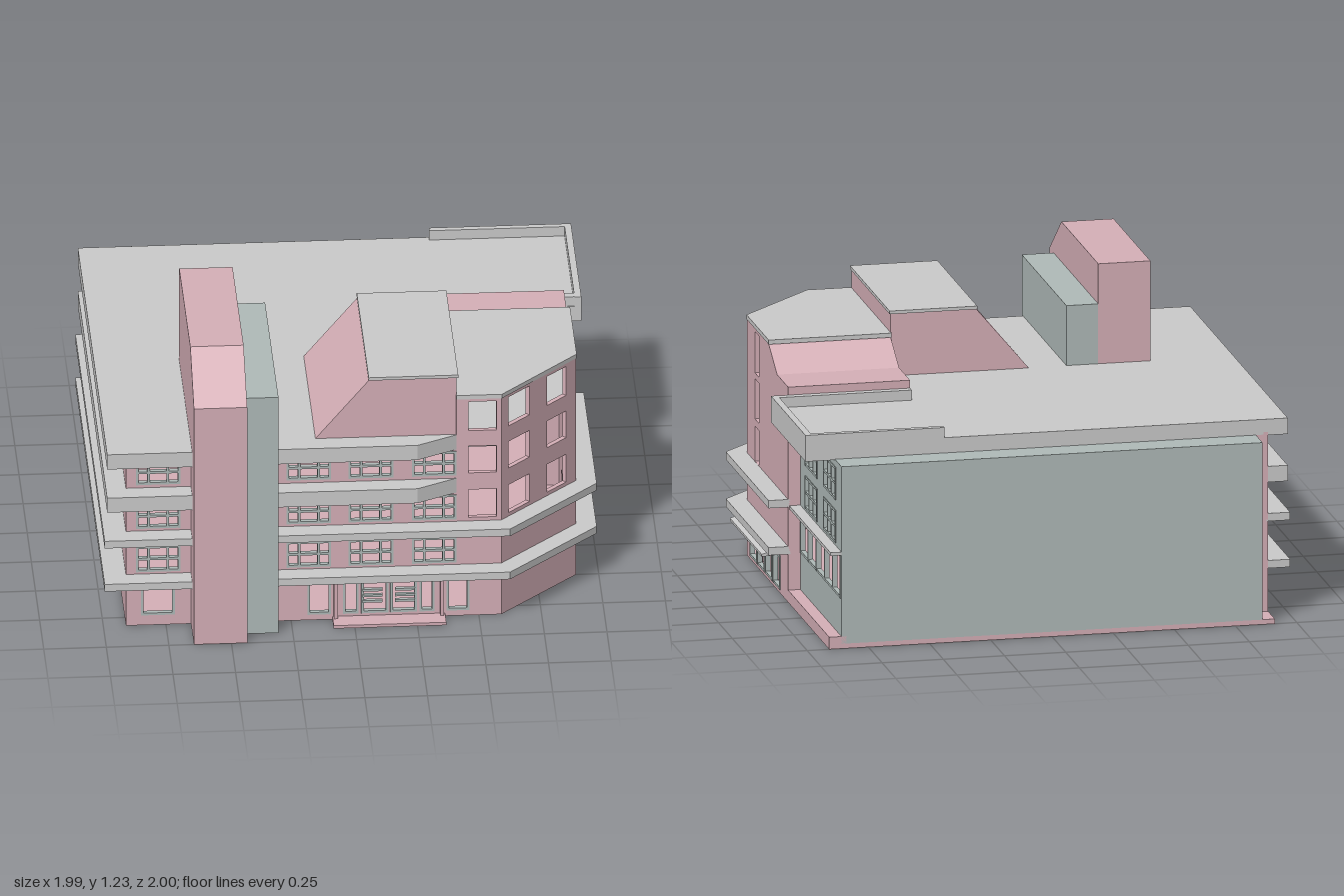
import * as THREE from 'three';

const pink = new THREE.MeshStandardMaterial({ color: 0xd6b0b8, side: THREE.DoubleSide });
const green = new THREE.MeshStandardMaterial({ color: 0xb0bbb9, side: THREE.DoubleSide });
const grey = new THREE.MeshStandardMaterial({ color: 0xcccccc, side: THREE.DoubleSide });
const T = 0.02; // wall thickness

function add(parent, name, geo, mat) {
  const mesh = new THREE.Mesh(geo, mat);
  mesh.name = name;
  parent.add(mesh);
  return mesh;
}

// box given by its limits
function box(parent, name, mat, x0, x1, y0, y1, z0, z1) {
  const m = add(parent, name, new THREE.BoxGeometry(x1 - x0, y1 - y0, z1 - z0), mat);
  m.position.set((x0 + x1) / 2, (y0 + y1) / 2, (z0 + z1) / 2);
  return m;
}

const toShape = pts => new THREE.Shape(pts.map(p => new THREE.Vector2(p[0], p[1])));
const extrude = (shape, depth) => new THREE.ExtrudeGeometry(shape, { depth, bevelEnabled: false });

// horizontal slab from a plan outline [x, z]
function slab(parent, name, mat, pts, y0, y1) {
  const m = add(parent, name, extrude(toShape(pts.map(([x, z]) => [x, -z])), y1 - y0), mat);
  m.rotation.x = -Math.PI / 2;
  m.position.y = y0;
  return m;
}

// solid with a side profile [z, y], running from x0 to x1
function sideProfile(parent, name, mat, pts, x0, x1) {
  const m = add(parent, name, extrude(toShape(pts.map(([z, y]) => [-z, y])), x1 - x0), mat);
  m.rotation.y = Math.PI / 2;
  m.position.x = x0;
  return m;
}

// wall with rectangular openings; each is {r: [u0, u1, v0, v1], cols, rows}
// cols and rows are bar positions as fractions of the opening
function wall(parent, name, mat, pts, windows, x, z, angle) {
  const g = new THREE.Group();
  g.name = name;
  g.position.set(x, 0, z);
  g.rotation.y = angle;
  parent.add(g);
  const shape = toShape(pts);
  for (const { r: [a, b, c, d], cols, rows } of windows) {
    shape.holes.push(new THREE.Path([[a, c], [b, c], [b, d], [a, d]].map(p => new THREE.Vector2(...p))));
    if (!cols) continue;
    const w = 0.005;
    for (const f of [0, ...cols, 1]) {
      const u = a + w + f * (b - a - 2 * w);
      box(g, 'windowBar', green, u - w, u + w, c, d, -T + 0.003, 0.004);
    }
    for (const f of [0, ...rows, 1]) {
      const v = c + w + f * (d - c - 2 * w);
      box(g, 'windowBar', green, a, b, v - w, v + w, -T + 0.003, 0.003);
    }
  }
  add(g, name + 'Panel', extrude(shape, T), mat).position.z = -T;
  return g;
}

const rect = (a, b, c, d) => [[a, c], [b, c], [b, d], [a, d]];
const open = (a, b, c, d) => ({ r: [a, b, c, d] });
const framed = (a, b, c, d, cols = [], rows = []) => ({ r: [a, b, c, d], cols, rows });

export function createModel() {
  const root = new THREE.Group();
  root.name = 'building';

  // base
  slab(root, 'base', pink, [[-0.91, -1], [0.91, -1], [0.91, 0.5], [0.59, 0.82], [-0.91, 0.82]], 0, 0.02);
  box(root, 'sidePlinth', pink, 0.84, 0.91, 0.02, 0.05, -1, -0.25);

  // front wall: three floors of barred windows, shopfront and entrance
  const front = [];
  for (const [y0, y1] of [[0.24, 0.355], [0.435, 0.545], [0.632, 0.74]])
    for (const x of [-0.87, -0.268, -0.02, 0.232])
      front.push(framed(x, x + 0.178, y0, y1, [0.27, 0.73], [0.5]));
  front.push(framed(-0.85, -0.715, 0.045, 0.19));
  for (const [a, b] of [[-0.185, -0.09], [-0.042, 0.02], [0.03, 0.138], [0.146, 0.252], [0.262, 0.322], [0.37, 0.462]])
    front.push(framed(a, b, 0.025, 0.188));
  const sills = [[0.44, 0.565], [0.64, 0.76], [0.83, 0.96]];
  for (const [y0, y1] of sills) front.push(open(0.458, 0.57, y0, y1));
  wall(root, 'frontWall', pink,
    [[-0.91, 0], [0.59, 0], [0.59, 0.98], [0.41, 0.98], [0.41, 0.76], [-0.91, 0.76]], front, 0, 0.82, 0);

  // entrance surround, step and door handles
  for (const x of [-0.08, 0.345]) box(root, 'entrancePost', pink, x, x + 0.015, 0.015, 0.2, 0.82, 0.845);
  box(root, 'entranceStep', pink, -0.085, 0.365, 0, 0.013, 0.8, 0.9);
  for (const x of [0.035, 0.165])
    for (const y of [0.075, 0.1, 0.125]) box(root, 'doorHandle', green, x, x + 0.08, y, y + 0.01, 0.815, 0.83);

  // chamfered corner wall
  const corner = [];
  for (const [y0, y1] of sills) corner.push(open(0.042, 0.17, y0, y1), open(0.275, 0.392, y0, y1));
  wall(root, 'cornerWall', pink, rect(0, 0.4525, 0, 0.98), corner, 0.59, 0.82, Math.PI / 4);

  // corner block side wall with shop windows
  const side = [open(-0.355, -0.285, 0.425, 0.57), open(-0.355, -0.285, 0.6, 0.765), open(-0.355, -0.285, 0.79, 0.96)];
  for (let i = 0; i < 4; i++) side.push(framed(-0.44 + i * 0.141, -0.312 + i * 0.141, 0.015, 0.155));
  wall(root, 'cornerBlockSide', pink,
    [[-0.5, 0], [0.25, 0], [0.25, 0.885], [0.05, 0.885], [-0.11, 0.975], [-0.5, 0.975]], side, 0.91, 0, Math.PI / 2);
  const awning = add(root, 'shopAwning', extrude(toShape([[0.91, 0.165], [0.99, 0.16], [0.99, 0.17], [0.91, 0.192]]), 0.58), grey);
  awning.position.z = -0.125;

  // corner block: inner wall, back wall, stepped roof and cap
  sideProfile(root, 'cornerBlockInnerWall', pink,
    [[-0.25, 0.8], [0.81, 0.8], [0.81, 0.98], [0.11, 0.975], [-0.05, 0.885], [-0.25, 0.885]], 0.412, 0.425);
  box(root, 'cornerBlockBackWall', pink, 0.412, 0.908, 0.8, 0.885, -0.25, -0.235);
  box(root, 'cornerReturn', pink, 0.84, 0.908, 0, 0.82, -0.25, -0.235);
  sideProfile(root, 'slopedRoof', pink,
    [[-0.25, 0.875], [-0.05, 0.875], [0.11, 0.965], [0.11, 0.977], [-0.05, 0.887], [-0.25, 0.887]], 0.412, 0.91);
  slab(root, 'cornerCap', grey, [[0.41, 0.095], [0.912, 0.095], [0.912, 0.5], [0.592, 0.825], [0.41, 0.825]], 0.974, 0.992);

  // left, back and rear end walls
  box(root, 'leftWall', pink, -0.91, -0.89, 0, 0.76, -0.88, 0.82);
  box(root, 'rearWall', green, -0.86, 0.86, 0.02, 0.75, -1, -0.985);
  box(root, 'rearEndWall', green, -0.86, -0.845, 0.02, 0.75, -1, -0.87);
  box(root, 'rearLeftReturn', pink, -0.91, -0.845, 0.02, 0.75, -0.88, -0.87);
  box(root, 'rearLedge', green, -0.86, 0.86, 0.735, 0.75, -1, -0.87);

  // rear side facade with two rows of windows over a strip of large panes
  const rear = [];
  for (const y of [0.41, 0.587])
    for (const u of [0.343, 0.68]) rear.push(framed(u, u + 0.222, y, y + 0.135, [0.33, 0.67], [0.5]));
  rear.push(framed(0.258, 0.99, 0.205, 0.385, [0.195, 0.4, 0.605, 0.81]));
  wall(root, 'rearSideFacade', green, rect(0.25, 1, 0.05, 0.75), rear, 0.86, 0, Math.PI / 2);
  box(root, 'paneLedge', grey, 0.85, 0.905, 0.385, 0.398, -1, -0.25);

  // floor bands: the lower pair wraps the chamfer, the upper ones taper off
  for (const y of [0.198, 0.392])
    slab(root, 'lowerBand', grey, [[-1, -0.88], [-1, 0.9], [0.62, 0.9], [0.99, 0.53], [0.99, -0.25],
      [0.9, -0.25], [0.9, 0.495], [0.585, 0.81], [-0.9, 0.81], [-0.9, -0.88]], y, y + 0.032);
  slab(root, 'upperBand', grey, [[-0.99, -0.88], [-0.99, 0.9], [0.25, 0.9], [0.41, 0.82],
    [0.41, 0.81], [-0.9, 0.81], [-0.9, -0.88]], 0.553, 0.618);

  // roof and parapet
  slab(root, 'roof', grey, [[-0.99, -0.88], [-0.99, 0.9], [0.25, 0.9], [0.41, 0.82], [0.41, 0.8], [0.575, 0.8],
    [0.89, 0.485], [0.89, -0.25], [0.98, -0.25], [0.98, -0.88]], 0.747, 0.813);
  box(root, 'parapetSide', grey, 0.953, 0.98, 0.81, 0.855, -0.88, -0.25);
  box(root, 'parapetBack', grey, 0.412, 0.953, 0.81, 0.855, -0.88, -0.855);
  box(root, 'parapetFront', grey, 0.412, 0.953, 0.81, 0.855, -0.283, -0.252);

  // penthouse with one sloping side
  const house = add(root, 'penthouse',
    extrude(toShape([[-0.155, 0.81], [0.412, 0.81], [0.412, 1.07], [0.063, 1.07]]), 0.71), pink);
  house.position.z = 0.105;
  box(root, 'penthouseCap', grey, 0.06, 0.418, 1.07, 1.083, 0.095, 0.822);

  // twin towers
  sideProfile(root, 'tallTower', pink, [[0.108, 0], [1, 0], [1, 1.06], [0.78, 1.225], [0.108, 1.225]], -0.65, -0.437);
  box(root, 'shortTower', green, -0.437, -0.307, 0, 1.06, 0.108, 0.922);

  return root;
}
